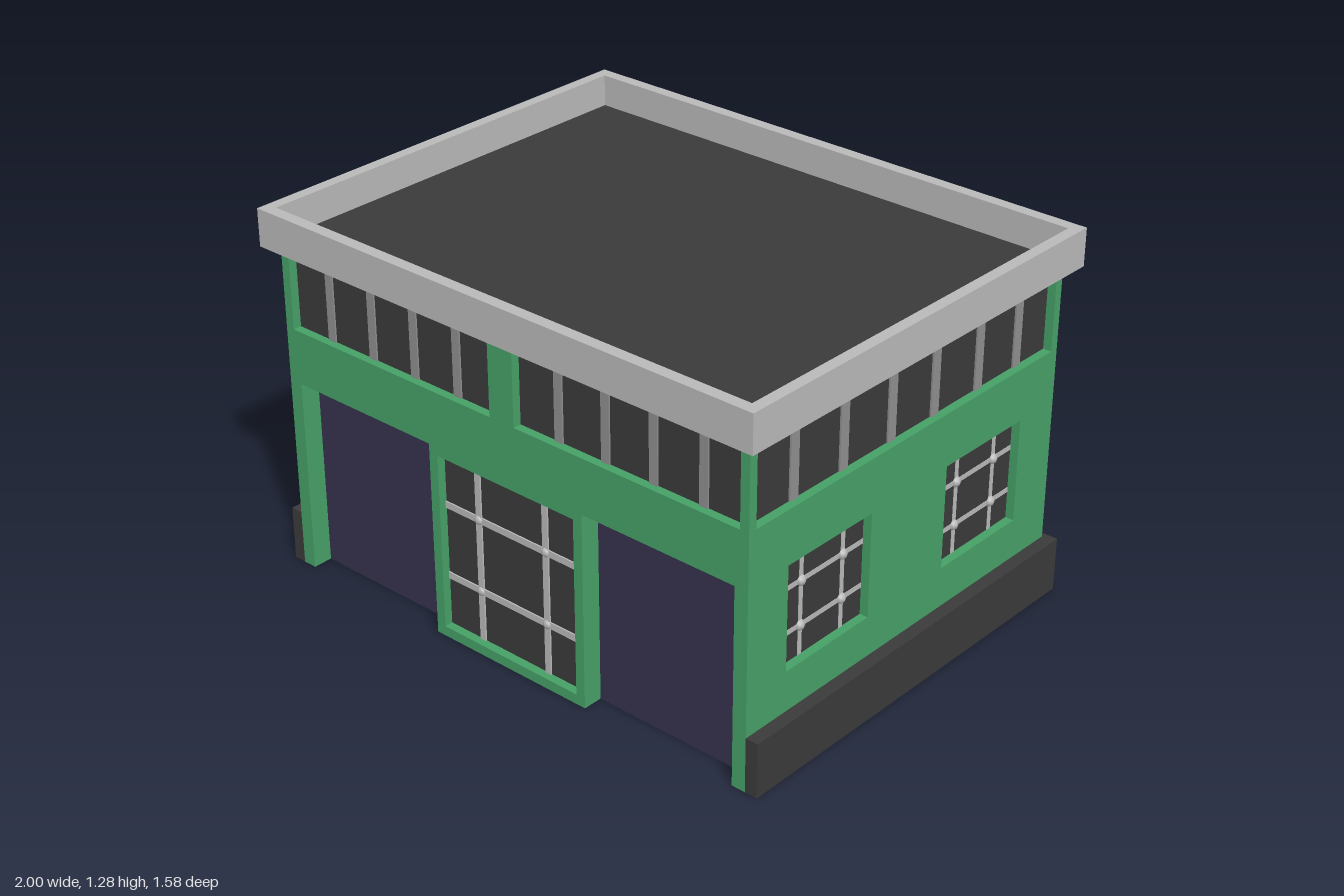
import * as THREE from 'three';

const mat = (name, color) => {
  const m = new THREE.MeshStandardMaterial({ color });
  m.name = name;
  return m;
};

const HX = 0.955, HZ = 0.745, TOP = 1.16, T = 0.03; // half width, half depth, wall height, wall thickness

export function createModel() {
  const green = mat('greenWall', 0x46a067);
  const dark = mat('darkGrey', 0x3a3a3a);
  const light = mat('lightGrey', 0xb9b9b9);
  const mid = mat('midGrey', 0x8f8f8f);
  const navy = mat('navyDoor', 0x363350);
  const model = new THREE.Group();
  model.name = 'building';

  const mesh = (parent, name, geometry, material) => {
    const m = new THREE.Mesh(geometry, material);
    m.name = name;
    parent.add(m);
    return m;
  };
  // Box given by its lower and upper limits on each axis
  const box = (parent, name, material, [x0, x1], [y0, y1], [z0, z1]) => {
    const m = mesh(parent, name, new THREE.BoxGeometry(x1 - x0, y1 - y0, z1 - z0), material);
    m.position.set((x0 + x1) / 2, (y0 + y1) / 2, (z0 + z1) / 2);
    return m;
  };
  const outline = (Type, x0, x1, y0, y1) => new Type([
    new THREE.Vector2(x0, y0), new THREE.Vector2(x1, y0),
    new THREE.Vector2(x1, y1), new THREE.Vector2(x0, y1),
  ]);

  // Window with a pane on the inner wall face, bars and knobs where bars cross
  const addWindow = (parent, w) => {
    const g = new THREE.Group();
    g.name = w.name;
    parent.add(g);
    const zc = -T - 0.003, d = w.depth / 2;
    box(g, 'pane', dark, [w.x0, w.x1], [w.y0, w.y1], [zc - 0.003, zc + 0.003]);
    const h = w.barWidth / 2;
    for (const x of w.cols) box(g, 'uprightBar', w.material, [x - h, x + h], [w.y0, w.y1], [zc - d, zc + d]);
    for (const y of w.rows) {
      box(g, 'crossBar', w.material, [w.x0, w.x1], [y - h, y + h], [zc - d * 0.9, zc + d * 0.9]);
      for (const x of w.cols) {
        mesh(g, 'crossingKnob', new THREE.SphereGeometry(0.019, 8, 6), w.material).position.set(x, y, zc);
      }
    }
  };

  // Wall in its own frame: outer face on z = 0, windows cut through
  const addWall = (name, shape, windows, distance, turn) => {
    const g = new THREE.Group();
    g.name = name;
    for (const w of windows) shape.holes.push(outline(THREE.Path, w.x0, w.x1, w.y0, w.y1));
    const geo = new THREE.ExtrudeGeometry(shape, { depth: T, bevelEnabled: false });
    geo.translate(0, 0, -T);
    mesh(g, 'wallPanel', geo, green);
    windows.forEach((w) => addWindow(g, w));
    g.rotation.y = turn;
    g.position.set(Math.sin(turn) * distance, 0, Math.cos(turn) * distance);
    model.add(g);
    return g;
  };

  const ribbon = (x0, x1, cols, barWidth) => ({
    name: 'ribbonWindow', x0, x1, y0: 0.875, y1: 1.125, cols, rows: [], barWidth, depth: 0.018, material: mid,
  });
  const ribbonPair = () => [-1, 1].map((s) => {
    const xs = [s * 0.05, s * 0.922].sort((a, b) => a - b);
    return ribbon(xs[0], xs[1], [0.21, 0.395, 0.58, 0.768].map((x) => s * x), 0.032);
  });
  const smallWindow = (centre, width) => ({
    name: 'barredWindow', x0: centre - width / 2, x1: centre + width / 2, y0: 0.33, y1: 0.69,
    cols: [centre - width / 4, centre + width / 4], rows: [0.432, 0.585],
    barWidth: 0.018, depth: 0.009, material: light,
  });

  // Front wall, notched for the two doors, with the large middle window
  const frontShape = new THREE.Shape([
    [-HX, 0], [-0.905, 0], [-0.905, 0.685], [-0.32, 0.685], [-0.32, 0],
    [0.32, 0], [0.32, 0.685], [0.905, 0.685], [0.905, 0], [HX, 0], [HX, TOP], [-HX, TOP],
  ].map(([x, y]) => new THREE.Vector2(x, y)));
  const front = addWall('frontWall', frontShape, [...ribbonPair(), {
    name: 'middleWindow', x0: -0.285, x1: 0.285, y0: 0.035, y1: 0.655,
    cols: [-0.14, 0.143], rows: [0.215, 0.472], barWidth: 0.023, depth: 0.018, material: light,
  }], HZ, 0);

  // Recessed doors with jambs and lintels
  for (const s of [-1, 1]) {
    const span = (a, b) => [s * a, s * b].sort((p, q) => p - q);
    box(front, 'door', navy, span(0.305, 0.92), [0, 0.695], [-0.082, -0.07]);
    box(front, 'outerJamb', green, span(0.905, 0.925), [0, 0.685], [-0.08, -T]);
    box(front, 'innerJamb', green, span(0.3, 0.32), [0, 0.685], [-0.08, -T]);
    box(front, 'lintel', green, span(0.3, 0.925), [0.685, 0.7], [-0.08, -T]);
  }

  // Back and side walls
  addWall('backWall', outline(THREE.Shape, -HX, HX, 0, TOP),
    [...ribbonPair(), smallWindow(-0.555, 0.41), smallWindow(0.555, 0.41)], HZ, Math.PI);
  for (const s of [-1, 1]) {
    const cols = [-0.52, -0.295, -0.07, 0.14, 0.36, 0.56].map((x) => s * x);
    addWall(s > 0 ? 'leftWall' : 'rightWall', outline(THREE.Shape, -HZ, HZ, 0, TOP),
      [ribbon(-0.714, 0.714, cols, 0.037), smallWindow(-0.376, 0.384), smallWindow(0.376, 0.384)],
      HX, s * Math.PI / 2);
  }

  // Plinth along the sides and back, also lining the inner wall faces
  for (const s of [-1, 1]) {
    const xs = (a, b) => [s * a, s * b].sort((p, q) => p - q);
    box(model, 'sidePlinth', dark, xs(HX, 1), [0, 0.19], [-0.765, HZ]);
    box(model, 'sidePlinthLining', dark, xs(0.915, 0.925), [0, 0.19], [-0.715, 0.66]);
  }
  box(model, 'backPlinth', dark, [-HX, HX], [0, 0.19], [-0.765, -HZ]);
  box(model, 'backPlinthLining', dark, [-0.915, 0.915], [0, 0.19], [-0.715, -0.705]);

  // Flat roof inside a raised parapet
  const ring = outline(THREE.Shape, -1, 1, -0.79, 0.79);
  ring.holes.push(outline(THREE.Path, -0.96, 0.96, -0.748, 0.748));
  const parapet = new THREE.ExtrudeGeometry(ring, { depth: 0.13, bevelEnabled: false });
  parapet.rotateX(-Math.PI / 2);
  mesh(model, 'parapet', parapet, light).position.y = 1.155;
  box(model, 'roof', dark, [-0.96, 0.96], [1.157, 1.175], [-0.748, 0.748]);

  return model;
}
